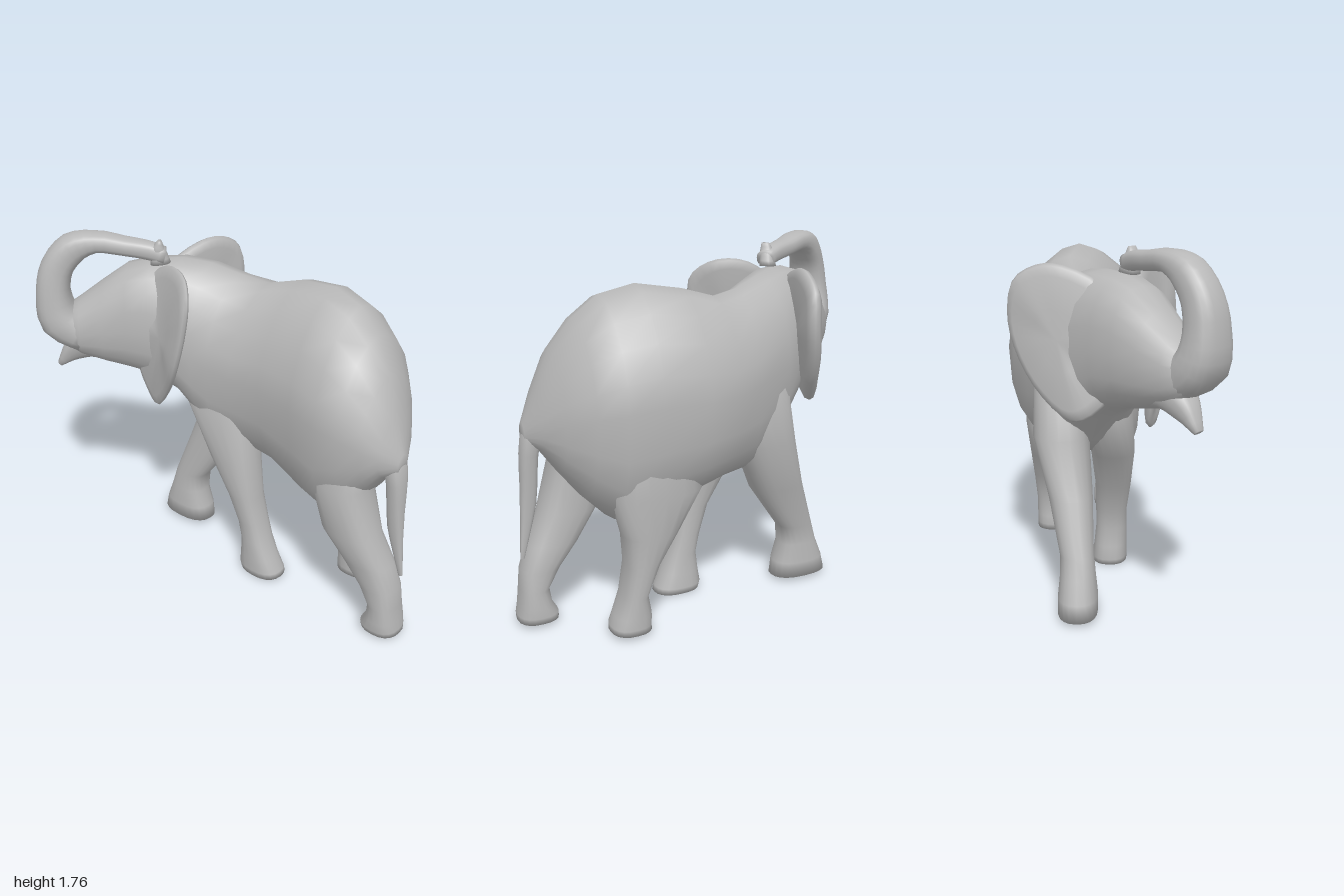
import * as THREE from 'three';

const V = (x, y, z) => new THREE.Vector3(x, y, z);
const SEG = 20;

// Skin closed rings of points into a smooth capped solid, facing outwards
function loft(rings) {
  const n = rings[0].length, pos = [], idx = [];
  const centre = (r) => r.reduce((s, p) => s.add(p), V(0, 0, 0)).divideScalar(n);
  rings.forEach((r) => r.forEach((p) => pos.push(p.x, p.y, p.z)));
  for (let i = 0; i < rings.length - 1; i++) {
    for (let j = 0; j < n; j++) {
      const a = i * n + j, b = i * n + (j + 1) % n;
      idx.push(a, b, a + n, b, b + n, a + n);
    }
  }
  const first = pos.length / 3, base = (rings.length - 1) * n;
  [rings[0], rings[rings.length - 1]].forEach((r) => pos.push(...centre(r).toArray()));
  for (let j = 0; j < n; j++) {
    const k = (j + 1) % n;
    idx.push(first, k, j, first + 1, base + j, base + k);
  }
  // Flip the winding when the enclosed volume is negative
  const at = (i) => V(pos[i * 3], pos[i * 3 + 1], pos[i * 3 + 2]);
  let volume = 0;
  for (let i = 0; i < idx.length; i += 3) volume += at(idx[i]).dot(at(idx[i + 1]).cross(at(idx[i + 2])));
  if (volume < 0) idx.reverse();
  const g = new THREE.BufferGeometry();
  g.setAttribute('position', new THREE.Float32BufferAttribute(pos, 3));
  g.setIndex(idx);
  g.computeVertexNormals();
  return g;
}

const ring = (fn) => Array.from({ length: SEG }, (_, i) => fn(Math.cos(i / SEG * 2 * Math.PI), Math.sin(i / SEG * 2 * Math.PI)));
// Exponent below 1 squares a section, above 1 pinches it
const pw = (v, e) => Math.sign(v) * Math.abs(v) ** e;

// Upright sections: x, z, half width, top, widest level, bottom, yaw, upper exponent
const bodyGeometry = (rows) => loft(rows.map(([x, z, w, top, mid, bottom, yaw = 0, upper = 1.12]) =>
  ring((c, s) => {
    const e = s > 0 ? upper : 0.82, u = w * pw(c, e);
    return V(x + u * Math.sin(yaw), mid + pw(s, e) * (s > 0 ? top - mid : mid - bottom), z + u * Math.cos(yaw));
  })));

// Level sections: y, x range, z range, slightly squared
const legGeometry = (rows) => loft(rows.map(([y, x0, x1, z0, z1]) =>
  ring((c, s) => V((x0 + x1) / 2 + pw(c, 0.82) * (x1 - x0) / 2, y, (z0 + z1) / 2 + pw(s, 0.82) * (z1 - z0) / 2))));

// Tapered tube: x, y, z, in-plane radius, side radius; side is the bend axis
function tubeGeometry(rows, side, steps) {
  const curve = new THREE.CatmullRomCurve3(rows.map(([x, y, z]) => V(x, y, z)));
  const rings = [];
  for (let i = 0; i <= steps; i++) {
    const t = i / steps, f = t * (rows.length - 1), k = Math.min(Math.floor(f), rows.length - 2);
    const mix = (j) => THREE.MathUtils.lerp(rows[k][j], rows[k + 1][j], f - k);
    const p = curve.getPoint(t), n = curve.getTangent(t).cross(side).normalize();
    rings.push(ring((c, s) => p.clone().addScaledVector(side, pw(c, 0.8) * mix(4)).addScaledVector(n, pw(s, 0.8) * mix(3))));
  }
  return loft(rings);
}

// Thin lens following a closed outline
function earGeometry(outline, normal, thick) {
  const curve = new THREE.CatmullRomCurve3(outline.map((p) => V(...p)), true);
  const rim = curve.getPoints(32).slice(0, 32);
  const c = rim.reduce((s, p) => s.add(p), V(0, 0, 0)).divideScalar(rim.length);
  const profile = [[0.4, -1.2], [0.85, -0.9], [0.97, -0.5], [1, 0], [0.97, 0.5], [0.85, 0.9], [0.4, 1]];
  return loft(profile.map(([k, d]) => rim.map((p) => c.clone().lerp(p, k).addScaledVector(normal, d * thick))));
}

export function createModel() {
  const model = new THREE.Group();
  model.name = 'elephant';
  const hide = new THREE.MeshStandardMaterial({ color: 0xb8b8b8 });
  hide.name = 'grey hide';
  const add = (name, geometry) => {
    const mesh = new THREE.Mesh(geometry, hide);
    mesh.name = name;
    model.add(mesh);
  };

  // Body, neck and turned head in one skin
  add('bodyAndHead', bodyGeometry([
    [0.93, -0.03, 0.04, 1.02, 0.97, 0.93],
    [0.87, -0.05, 0.14, 1.18, 1.02, 0.89],
    [0.8, -0.08, 0.22, 1.36, 1.06, 0.79],
    [0.7, -0.12, 0.3, 1.5, 1.1, 0.66],
    [0.58, -0.145, 0.335, 1.6, 1.12, 0.54],
    [0.42, -0.175, 0.335, 1.64, 1.14, 0.57],
    [0.2, -0.21, 0.32, 1.605, 1.14, 0.64],
    [0.02, -0.185, 0.3, 1.55, 1.14, 0.68],
    [-0.12, -0.145, 0.27, 1.57, 1.16, 0.68],
    [-0.26, -0.09, 0.25, 1.61, 1.2, 0.78, 0.25, 1],
    [-0.38, -0.015, 0.225, 1.63, 1.25, 0.93, 0.45, 0.9],
    [-0.5, 0.08, 0.205, 1.62, 1.3, 1.02, 0.6, 0.85],
    [-0.6, 0.15, 0.185, 1.59, 1.3, 1.05, 0.66, 0.85],
    [-0.7, 0.23, 0.16, 1.5, 1.28, 1.08, 0.7, 0.9],
    [-0.79, 0.31, 0.135, 1.41, 1.26, 1.12, 0.74, 0.9],
    [-0.86, 0.37, 0.1, 1.35, 1.26, 1.18, 0.78, 0.9],
  ]));

  // Legs in mid stride, their tops sunk into the flanks
  add('leftSideFrontLeg', legGeometry([
    [1.15, -0.26, 0.06, -0.16, 0.03], [0.9, -0.33, 0.08, -0.14, 0.11], [0.66, -0.16, 0.11, -0.1, 0.12],
    [0.45, -0.03, 0.13, -0.08, 0.1], [0.3, 0.02, 0.16, -0.08, 0.08], [0.2, 0.04, 0.19, -0.08, 0.08],
    [0.1, 0.03, 0.23, -0.09, 0.08], [0.03, 0.02, 0.265, -0.1, 0.08], [0, 0.03, 0.27, -0.1, 0.08],
  ]));
  add('rightSideFrontLeg', legGeometry([
    [1.15, -0.34, 0, -0.36, -0.1], [0.82, -0.39, -0.08, -0.37, -0.1], [0.55, -0.48, -0.2, -0.29, -0.08],
    [0.3, -0.57, -0.38, -0.23, -0.07], [0.2, -0.6, -0.39, -0.23, -0.06], [0.1, -0.64, -0.36, -0.24, -0.05],
    [0.02, -0.66, -0.35, -0.24, -0.05],
  ]));
  add('leftSideHindLeg', legGeometry([
    [1.1, 0.45, 0.8, -0.1, 0.1], [0.8, 0.5, 0.79, -0.11, 0.155], [0.55, 0.57, 0.86, -0.1, 0.135],
    [0.4, 0.68, 0.93, -0.11, 0.1], [0.28, 0.78, 0.97, -0.11, 0.085], [0.18, 0.84, 0.98, -0.11, 0.08],
    [0.1, 0.83, 0.99, -0.12, 0.08], [0.05, 0.8, 1, -0.12, 0.08], [0.02, 0.8, 1, -0.12, 0.07],
  ]));
  add('rightSideHindLeg', legGeometry([
    [1.1, 0.2, 0.6, -0.47, -0.15], [0.7, 0.17, 0.62, -0.465, -0.2], [0.5, 0.3, 0.57, -0.45, -0.22],
    [0.35, 0.4, 0.56, -0.44, -0.23], [0.2, 0.46, 0.58, -0.43, -0.23], [0.1, 0.44, 0.62, -0.43, -0.23],
    [0.05, 0.44, 0.64, -0.43, -0.23], [0.02, 0.44, 0.64, -0.43, -0.23],
  ]));

  // Trunk curled back over the forehead, its tip resting on the crown
  const across = V(1, 0, 1).normalize();
  add('trunk', tubeGeometry([
    [-0.77, 1.22, 0.3, 0.09, 0.12], [-0.86, 1.31, 0.385, 0.105, 0.125], [-0.872, 1.45, 0.405, 0.085, 0.105],
    [-0.85, 1.58, 0.385, 0.08, 0.09], [-0.79, 1.675, 0.33, 0.075, 0.08], [-0.7, 1.71, 0.26, 0.05, 0.07],
    [-0.58, 1.695, 0.18, 0.045, 0.06], [-0.48, 1.68, 0.12, 0.045, 0.05], [-0.41, 1.66, 0.08, 0.04, 0.045],
  ], across, 24));
  add('trunkTip', tubeGeometry([
    [-0.43, 1.62, 0.09, 0.05, 0.04], [-0.43, 1.69, 0.1, 0.035, 0.035], [-0.42, 1.735, 0.1, 0.01, 0.02],
  ], across, 6));

  // Pointed lower lip
  add('lowerLip', tubeGeometry([
    [-0.62, 1.18, 0.17, 0.12, 0.13], [-0.75, 1.18, 0.27, 0.09, 0.11],
    [-0.84, 1.12, 0.33, 0.06, 0.065], [-0.905, 1.035, 0.38, 0.015, 0.025],
  ], across, 10));

  // Ears: one swept back, one spread wide
  add('leftSideEar', earGeometry([
    [-0.44, 1.58, 0.13], [-0.3, 1.655, 0.15], [-0.16, 1.645, 0.21], [-0.08, 1.56, 0.28], [-0.09, 1.4, 0.3],
    [-0.15, 1.2, 0.3], [-0.25, 1.04, 0.25], [-0.38, 0.9, 0.2], [-0.44, 0.92, 0.18], [-0.5, 1.1, 0.2], [-0.52, 1.4, 0.2],
  ], V(-0.2, 0, 0.98).normalize(), 0.028));
  add('rightSideEar', earGeometry([
    [-0.48, 1.56, -0.02], [-0.43, 1.65, -0.2], [-0.4, 1.65, -0.32], [-0.38, 1.58, -0.43], [-0.37, 1.42, -0.46],
    [-0.4, 1.25, -0.42], [-0.45, 1.08, -0.32], [-0.53, 0.97, -0.18], [-0.56, 0.98, -0.1], [-0.55, 1.1, 0.02], [-0.53, 1.35, 0.02],
  ], V(-0.93, 0, -0.3).normalize(), 0.042));

  // Hanging tail
  add('tail', tubeGeometry([
    [0.84, 1.06, -0.04, 0.03, 0.04], [0.895, 0.93, -0.035, 0.045, 0.06],
    [0.92, 0.62, -0.035, 0.038, 0.032], [0.965, 0.35, -0.045, 0.01, 0.008],
  ], V(0, 0, 1), 12));

  return model;
}
